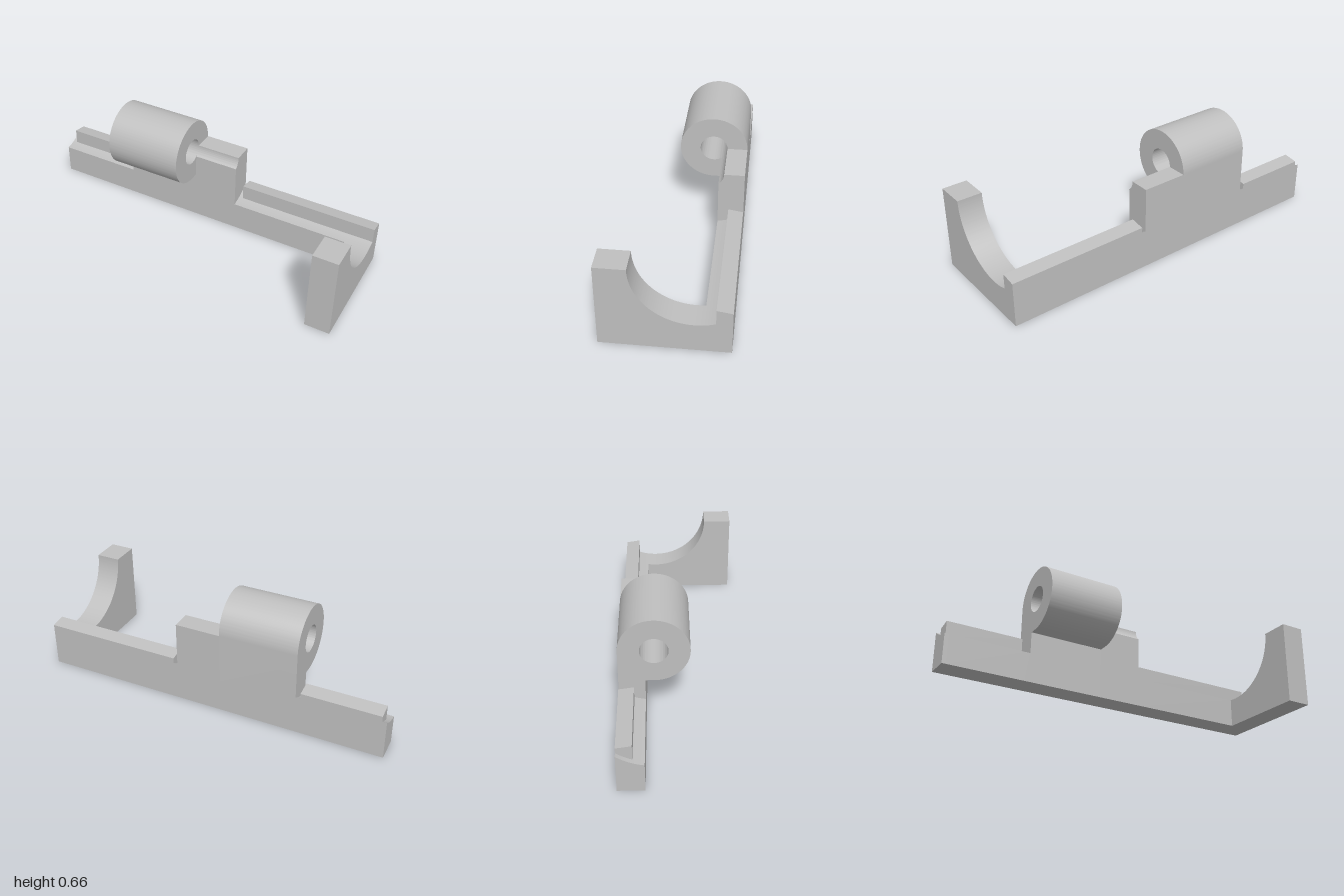
import * as THREE from 'three';
import { toCreasedNormals } from 'three/addons/utils/BufferGeometryUtils.js';

// Profiles are drawn in (u, y) with u = -z, then extruded along x.
const CU = 0.145, CY = 0.478;              // shared axis of bore, sleeve and trough
const R_BORE = 0.075, R_SLEEVE = 0.186, R_TROUGH = 0.314;
const BACK = 0.331, FACE = 0.191, RIDGE = 0.25, FRONT = -0.331;

// Angle of the lower half of a circle about the axis at a given u
const lowerAngle = (r, u) => -Math.acos((u - CU) / r);

// Base profile with a trough-shaped top, optional ridge, optional full-depth arm
function troughProfile(ridge, arm) {
  const s = new THREE.Shape();
  s.moveTo(arm ? FRONT : FACE, 0);
  s.lineTo(BACK, 0);
  if (ridge) {
    s.lineTo(BACK, 0.255);
    s.lineTo(RIDGE, 0.268);
  }
  const from = lowerAngle(R_TROUGH, ridge ? RIDGE : BACK);
  const to = arm ? -Math.PI : lowerAngle(R_TROUGH, FACE);
  s.lineTo(CU + R_TROUGH * Math.cos(from), CY + R_TROUGH * Math.sin(from));
  s.absarc(CU, CY, R_TROUGH, from, to, true);
  if (arm) s.lineTo(FRONT, CY);
  s.closePath();
  return s;
}

// Upright block with the bore cutting its top front corner
function blockProfile() {
  const s = new THREE.Shape();
  s.moveTo(FACE, 0);
  s.lineTo(BACK, 0);
  s.lineTo(BACK, CY);
  s.lineTo(CU + R_BORE, CY);
  s.absarc(CU, CY, R_BORE, 0, lowerAngle(R_BORE, FACE), true);
  s.closePath();
  return s;
}

// Bored sleeve merging into the upright below it
function sleeveProfile() {
  const s = new THREE.Shape();
  s.moveTo(FACE, 0);
  s.lineTo(BACK, 0);
  s.lineTo(BACK, CY);
  s.absarc(CU, CY, R_SLEEVE, 0, Math.PI * 1.5, false);
  s.lineTo(FACE, CY - R_SLEEVE);
  s.closePath();
  const bore = new THREE.Path();
  bore.absarc(CU, CY, R_BORE, 0, Math.PI * 2, true);
  s.holes.push(bore);
  return s;
}

export function createModel() {
  const group = new THREE.Group();
  const grey = new THREE.MeshStandardMaterial({ color: 0xbfbfbf });
  grey.name = 'plain grey';

  const addSection = (name, shape, x0, x1) => {
    let g = new THREE.ExtrudeGeometry(shape, { depth: x1 - x0, bevelEnabled: false, curveSegments: 64 });
    g.rotateY(Math.PI / 2);
    g.translate(x0, 0, 0);
    g = toCreasedNormals(g, 0.4);
    const mesh = new THREE.Mesh(g, grey);
    mesh.name = name;
    group.add(mesh);
  };

  // Rail with its ridges and the short relief gaps at their ends
  const floor = troughProfile(false, false);
  const ridged = troughProfile(true, false);
  addSection('railEnd', floor, -1, -0.975);
  addSection('rightRidgedRail', ridged, -0.975, -0.538);
  addSection('rightReliefGap', floor, -0.538, -0.512);
  addSection('leftReliefGap', floor, 0.184, 0.207);
  addSection('leftRidgedRail', ridged, 0.207, 0.861);

  // Bearing sleeve, upright block and end arm
  addSection('bearingSleeve', sleeveProfile(), -0.512, -0.072);
  addSection('uprightBlock', blockProfile(), -0.072, 0.184);
  addSection('endArm', troughProfile(true, true), 0.861, 1);

  return group;
}
